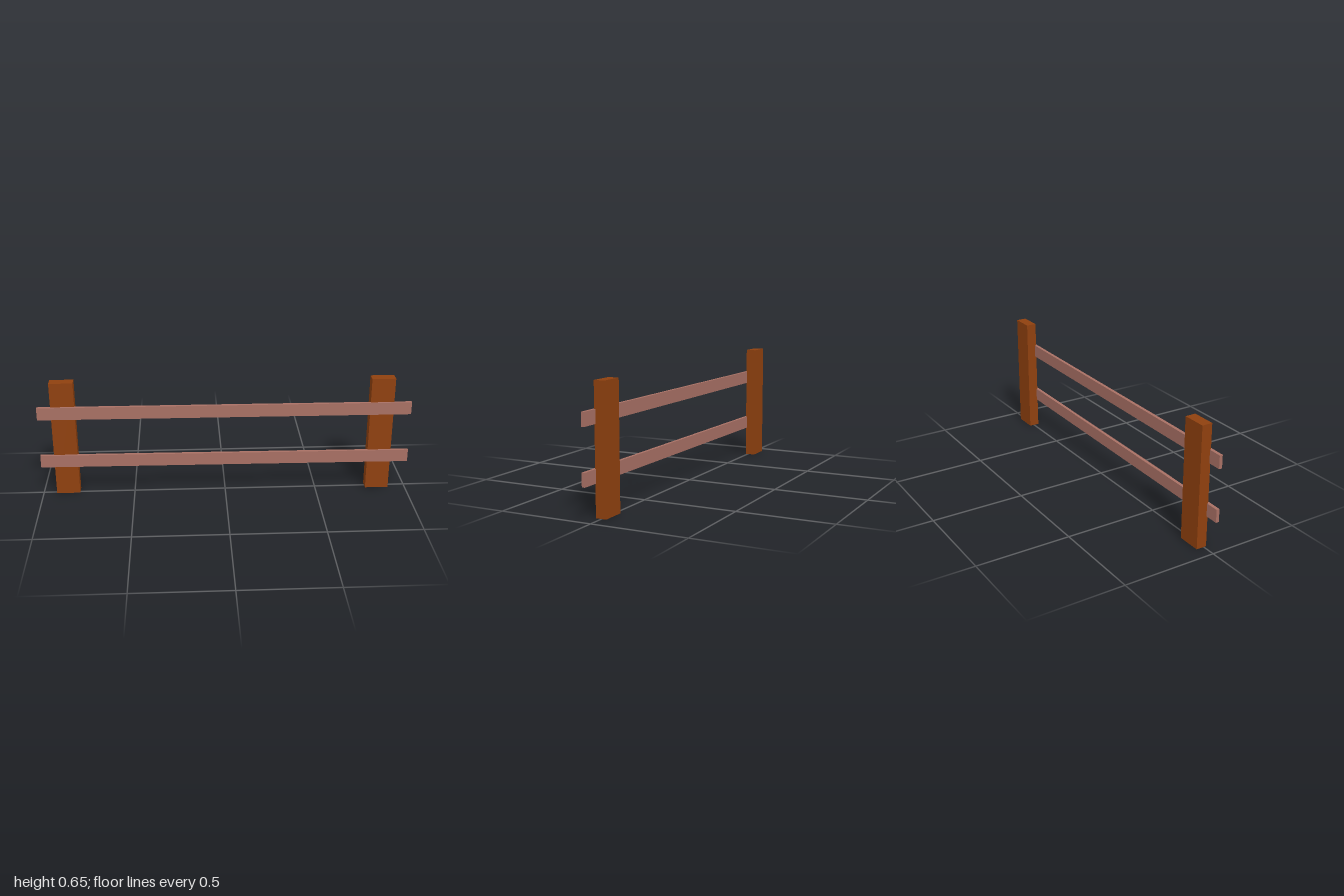
import * as THREE from 'three';

export function createModel() {
  const fence = new THREE.Group();
  fence.name = 'fence';
  const postWood = new THREE.MeshStandardMaterial({ color: 0x8f400e });
  const railWood = new THREE.MeshStandardMaterial({ color: 0xa87064 });

  function board(name, size, position, material, yaw = 0) {
    const mesh = new THREE.Mesh(new THREE.BoxGeometry(...size), material);
    mesh.name = name;
    mesh.position.set(...position);
    mesh.rotation.y = yaw;
    fence.add(mesh);
  }

  // Upright posts, the right one set slightly further back
  const height = 0.648;
  board('leftPost', [0.127, height, 0.056], [0.843, height / 2, 0.002], postWood);
  board('rightPost', [0.127, height, 0.056], [-0.864, height / 2, -0.014], postWood);

  // Thin rails across the front, turned a little to meet both posts
  const rails = [
    ['lowerRail', 0.2, 0.0155, 0.035],
    ['upperRail', 0.48, 0.0165, 0.0325],
  ];
  for (const [name, y, zRight, zLeft] of rails) {
    const yaw = -Math.atan2(zLeft - zRight, 2);
    board(name, [2, 0.069, 0.017], [0, y, (zLeft + zRight) / 2], railWood, yaw);
  }
  return fence;
}
